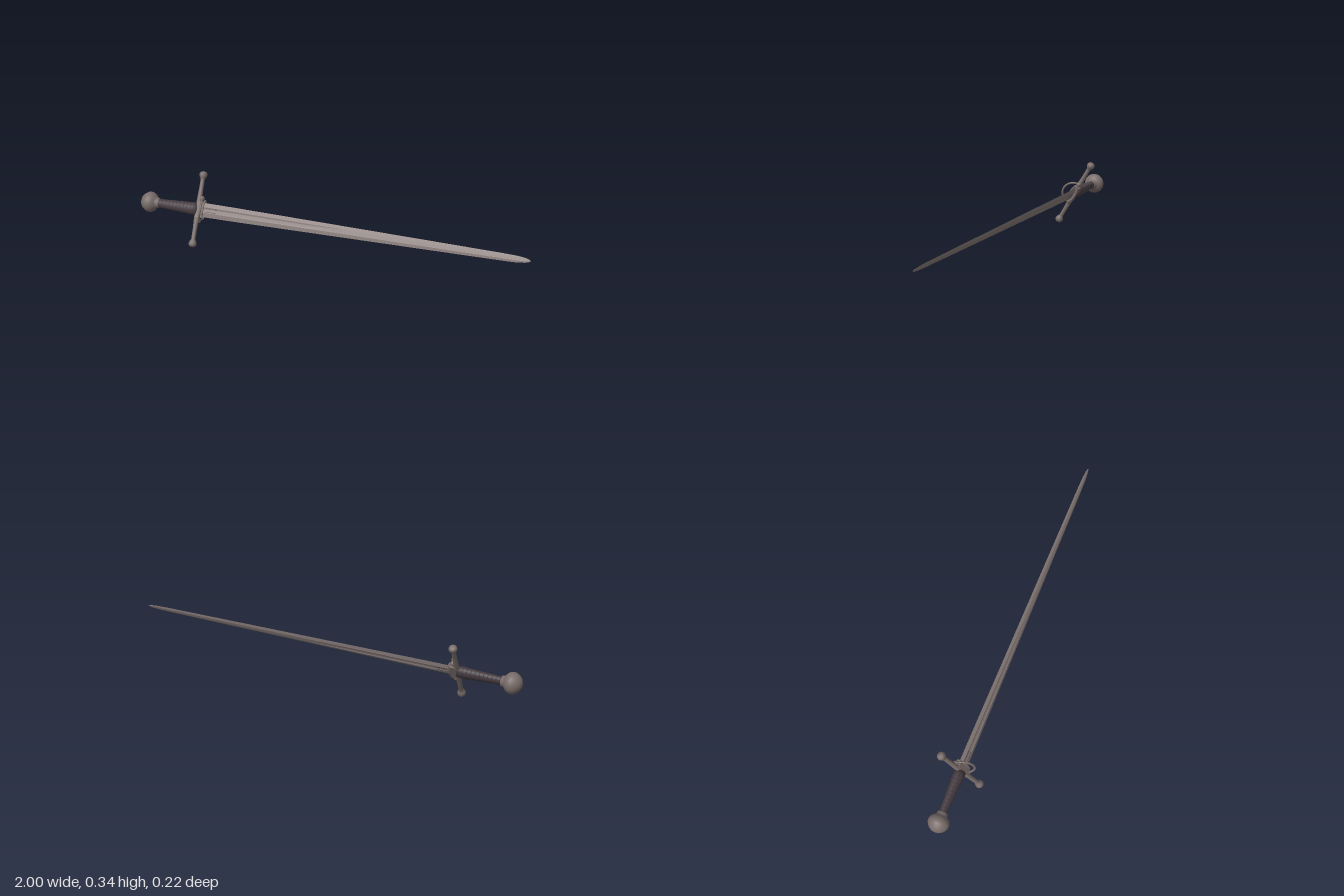
import * as THREE from 'three';

const V = (x, y, z) => new THREE.Vector3(x, y, z);

function material(name, color) {
  const m = new THREE.MeshStandardMaterial({ color });
  m.name = name;
  return m;
}

// Lathe from [radius, height] pairs
function lathe(pairs, segments = 24) {
  const curve = pairs.map(([r, h]) => new THREE.Vector2(r, h));
  return new THREE.LatheGeometry(curve, segments);
}

// Lofts the blade: rows of [x, half width, half thickness, fuller depth]
function bladeGeometry(rows) {
  const pos = [], index = [];
  for (const [x, w, t, d] of rows) {
    const side = [[1, 0], [0.4, t], [0.16, t - d], [-0.16, t - d], [-0.4, t]];
    for (const [k, z] of side) pos.push(x, k * w, z);
    for (const [k, z] of side) pos.push(x, -k * w, -z);
  }
  const n = 10;
  for (let i = 0; i < rows.length - 1; i++) {
    for (let j = 0; j < n; j++) {
      const a = i * n + j, b = i * n + (j + 1) % n;
      index.push(a, b, a + n, b, b + n, a + n);
    }
  }
  const g = new THREE.BufferGeometry();
  g.setAttribute('position', new THREE.Float32BufferAttribute(pos, 3));
  g.setIndex(index);
  const flat = g.toNonIndexed();
  flat.computeVertexNormals();
  return flat;
}

export function createModel() {
  const model = new THREE.Group();
  model.name = 'sword';
  // Local frame: x along the blade, y along the guard, z out of the flat
  const sword = new THREE.Group();
  sword.name = 'swordBody';
  model.add(sword);

  const bladeSteel = material('blade steel', 0x897d7b);
  const hiltSteel = material('hilt steel', 0x786c69);
  const leather = material('dark leather', 0x443b40);
  bladeSteel.side = THREE.DoubleSide;

  function add(name, geometry, mat, parent = sword) {
    const mesh = new THREE.Mesh(geometry, mat);
    mesh.name = name;
    parent.add(mesh);
    return mesh;
  }

  // Tapering blade with a fuller that fades out and a rounded tip
  add('blade', bladeGeometry([
    [-0.68, 0.036, 0.007, 0.003], [-0.5, 0.035, 0.007, 0.003],
    [-0.1, 0.030, 0.006, 0.002], [0.1, 0.0275, 0.0055, 0],
    [0.5, 0.0225, 0.0045, 0], [0.88, 0.0175, 0.0035, 0],
    [0.94, 0.0155, 0.003, 0], [0.975, 0.011, 0.0025, 0],
    [0.992, 0.006, 0.002, 0], [1.0, 0.0005, 0.0005, 0],
  ]), bladeSteel);

  // Short dark grooves at the root of the blade
  for (const side of [-1, 1]) {
    for (const y of [-0.009, 0.009]) {
      const groove = add('bladeGroove', new THREE.BoxGeometry(0.06, 0.0025, 0.001), leather);
      groove.position.set(-0.615, y, side * 0.0068);
    }
  }

  // Grip, oval in section and swelling towards the guard
  const grip = add('grip', lathe([
    [0.021, -0.925], [0.023, -0.88], [0.026, -0.82], [0.029, -0.76],
    [0.032, -0.715], [0.031, -0.69], [0, -0.68],
  ]).rotateZ(-Math.PI / 2), leather);
  grip.scale.z = 0.8;

  // Raised wrap bands on the grip
  for (let i = 0; i < 10; i++) {
    const x = -0.90 + i * 0.02;
    const band = add('gripBand', new THREE.TorusGeometry(0.022 + i * 0.001, 0.0022, 6, 24).rotateY(Math.PI / 2), leather);
    band.position.x = x;
    band.scale.z = 0.8;
  }

  // Pommel with a neck
  add('pommel', lathe([
    [0, -1.0], [0.016, -0.998], [0.030, -0.991], [0.042, -0.979], [0.050, -0.965],
    [0.052, -0.953], [0.050, -0.941], [0.043, -0.929], [0.033, -0.921],
    [0.027, -0.916], [0.026, -0.905], [0.021, -0.9],
  ], 32).rotateZ(-Math.PI / 2), hiltSteel);

  // Cross guard: two mirrored arms, each ending in a knob
  const guard = new THREE.Group();
  guard.name = 'crossGuard';
  guard.position.x = -0.687;
  guard.rotation.z = 0.02;
  sword.add(guard);
  for (const side of [0, Math.PI]) {
    const arm = add('guardArm', lathe([
      [0.014, 0], [0.013, 0.05], [0.011, 0.1], [0.0105, 0.15], [0.013, 0.157],
      [0.018, 0.165], [0.0205, 0.174], [0.019, 0.183], [0.013, 0.19], [0, 0.193],
    ], 16), hiltSteel, guard);
    arm.rotation.x = side;
  }

  // Block where the blade meets the guard
  const collar = add('guardBlock', new THREE.BoxGeometry(0.034, 0.084, 0.03), hiltSteel);
  collar.position.x = -0.675;

  // Oval collar round the root of the blade
  const oval = [];
  for (let i = 0; i < 20; i++) {
    const a = i / 20 * Math.PI * 2;
    oval.push(V(-0.655, 0.047 * Math.cos(a), 0.016 * Math.sin(a)));
  }
  add('bladeCollar', new THREE.TubeGeometry(new THREE.CatmullRomCurve3(oval, true), 48, 0.005, 8, true), hiltSteel);

  // Side ring, bowed out from one flat and leaning towards the blade
  const ring = [];
  for (let i = 0; i <= 12; i++) {
    const a = i / 12 * Math.PI, s = Math.sin(a);
    ring.push(V(-0.672 + 0.022 * s, 0.058 * Math.cos(a), 0.056 * s));
  }
  add('sideRing', new THREE.TubeGeometry(new THREE.CatmullRomCurve3(ring), 40, 0.0052, 8), hiltSteel);
  for (const side of [-1, 1]) {
    const foot = add('ringFoot', new THREE.SphereGeometry(0.013, 12, 8), hiltSteel);
    foot.position.set(-0.674, side * 0.056, 0);
  }

  // Roll about the blade, then a slight lift of the tip
  sword.rotation.x = -Math.PI / 6;
  model.rotation.z = 0.008;
  model.position.set(0, 0.182, -0.001);
  const root = new THREE.Group();
  root.name = 'longSword';
  root.add(model);
  return root;
}
